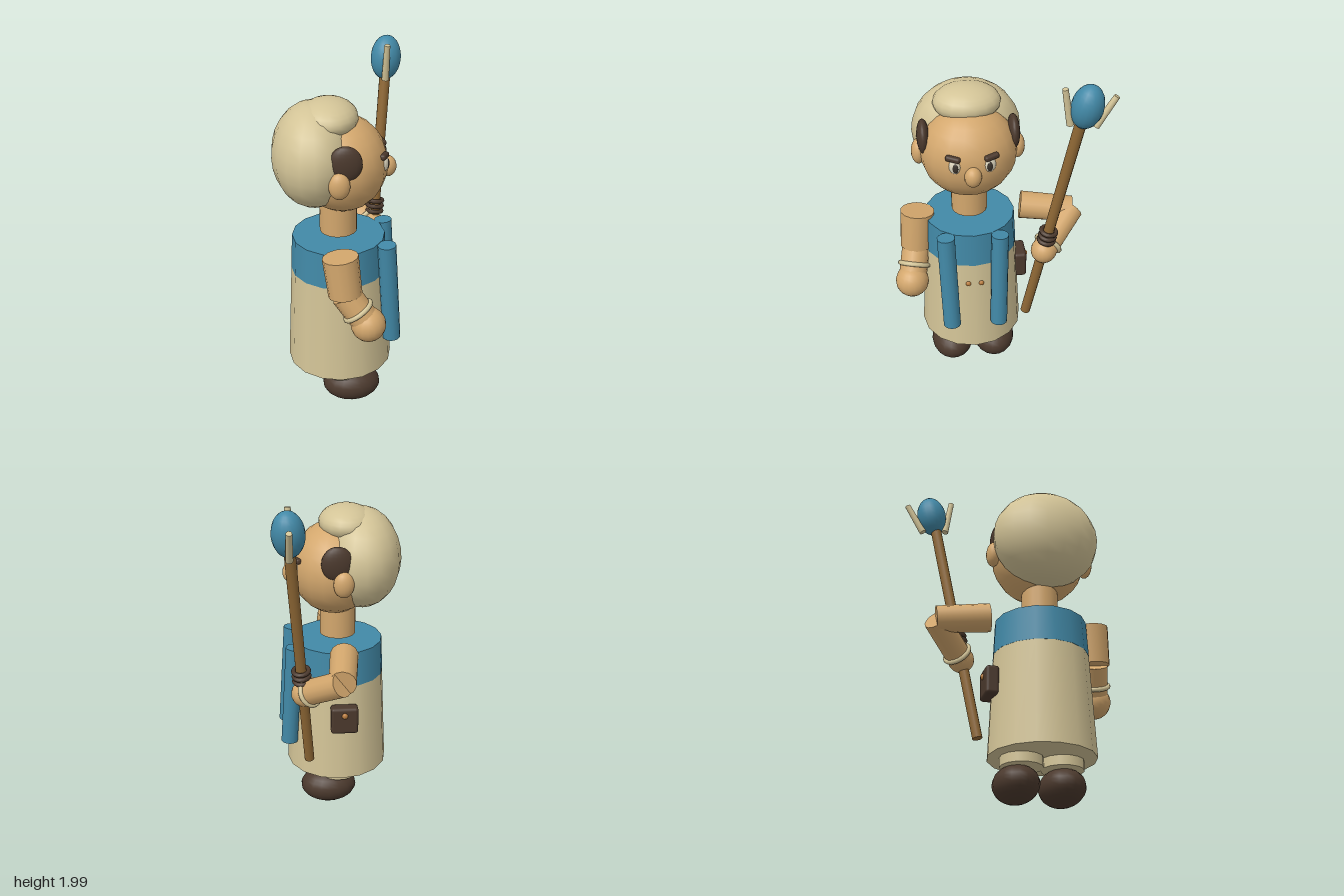
import * as THREE from 'three';
import { RoundedBoxGeometry } from 'three/addons/geometries/RoundedBoxGeometry.js';

const mat = (name, color) => {
  const m = new THREE.MeshStandardMaterial({ color });
  m.name = name;
  return m;
};

export function createModel() {
  const cream = mat('cream', 0xd3c497);
  const skin = mat('skin', 0xd3a76d);
  const dark = mat('darkBrown', 0x4b392d);
  const blue = mat('blue', 0x4289a7);
  const wood = mat('wood', 0x8f6835);
  const copper = mat('copper', 0xb87c3e);
  const white = mat('eyeWhite', 0xe0d8c0);
  const pupil = mat('pupil', 0x3a332c);

  const model = new THREE.Group();
  const V = (a) => new THREE.Vector3(...a);
  const UP = new THREE.Vector3(0, 1, 0);

  const add = (parent, name, geo, material, pos = [0, 0, 0]) => {
    const m = new THREE.Mesh(geo, material);
    m.name = name;
    m.position.set(...pos);
    parent.add(m);
    return m;
  };
  const ball = (parent, name, material, pos, radii) => {
    const m = add(parent, name, new THREE.SphereGeometry(1, 18, 14), material, pos);
    m.scale.set(...radii);
    return m;
  };
  // Cylinder running from a to b
  const rod = (parent, name, material, a, b, ra, rb = ra, sides = 14) => {
    const p = V(a), d = V(b).sub(p);
    const m = add(parent, name, new THREE.CylinderGeometry(rb, ra, d.length(), sides), material);
    m.position.copy(p).addScaledVector(d, 0.5);
    m.quaternion.setFromUnitVectors(UP, d.normalize());
    return m;
  };
  // Ring around the line a to b, at fraction t
  const ring = (parent, name, material, a, b, t, r, tube) => {
    const p = V(a), d = V(b).sub(p);
    const m = add(parent, name, new THREE.TorusGeometry(r, tube, 8, 18), material);
    m.position.copy(p).addScaledVector(d, t);
    m.quaternion.setFromUnitVectors(new THREE.Vector3(0, 0, 1), d.normalize());
    return m;
  };

  // Body and head are built facing +z, then turned
  const figure = new THREE.Group();
  figure.name = 'figure';
  figure.position.set(-0.2, 0, 0.003);
  figure.rotation.y = Math.PI / 4;
  model.add(figure);

  // Robe and yoke
  rod(figure, 'robe', cream, [0, 0.245, 0], [0, 0.84, 0], 0.302, 0.272, 16);
  rod(figure, 'yoke', blue, [0, 0.84, 0], [0, 1.047, 0], 0.273, 0.262, 16);
  rod(figure, 'neck', skin, [0, 1.075, 0], [0, 1.28, 0], 0.105, 0.105, 18);

  // Head and hair
  const head = new THREE.Group();
  head.name = 'head';
  figure.add(head);
  ball(head, 'face', skin, [0, 1.485, 0.025], [0.275, 0.268, 0.25]);
  ball(head, 'hair', cream, [0, 1.54, -0.13], [0.31, 0.29, 0.23]);
  ball(head, 'hairTop', cream, [0, 1.75, -0.045], [0.19, 0.1, 0.16]);
  ball(head, 'nose', skin, [0, 1.455, 0.272], [0.048, 0.06, 0.05]);

  for (const s of [-1, 1]) {
    ball(head, 'sideburn', dark, [s * 0.252, 1.585, 0.03], [0.036, 0.1, 0.09]);
    ball(head, 'ear', skin, [s * 0.28, 1.472, -0.005], [0.042, 0.075, 0.058]);
    ball(head, 'eye', white, [s * 0.097, 1.512, 0.248], [0.033, 0.043, 0.02]).rotation.y = s * 0.38;
    ball(head, 'pupil', pupil, [s * 0.095, 1.51, 0.264], [0.017, 0.029, 0.009]).rotation.y = s * 0.38;
    const brow = add(head, 'eyebrow', new RoundedBoxGeometry(0.085, 0.032, 0.035, 2, 0.013), dark, [s * 0.105, 1.56, 0.245]);
    brow.rotation.set(0, s * 0.38, s * 0.12);

    // Legs, feet and robe buttons
    rod(figure, 'leg', cream, [s * 0.115, 0.19, 0], [s * 0.115, 0.3, 0], 0.12);
    ball(figure, 'foot', dark, [s * 0.13, 0.112, 0.06], [0.128, 0.105, 0.168]);
    ball(figure, 'button', copper, [s * 0.038, 0.71, 0.272], [0.016, 0.016, 0.012]);
  }

  // Belt pouch on the left hip
  add(figure, 'pouch', new RoundedBoxGeometry(0.075, 0.165, 0.16, 2, 0.018), dark, [0.3, 0.648, -0.015]);
  ball(figure, 'pouchButton', copper, [0.337, 0.685, -0.015], [0.014, 0.018, 0.018]);

  // Scarf ends hanging down the front
  rod(model, 'scarfEnd', blue, [-0.13, 1.047, 0.3], [-0.092, 0.43, 0.312], 0.052);
  rod(model, 'scarfEnd', blue, [0.093, 1.047, 0.085], [0.108, 0.43, 0.116], 0.05);

  // Arms: shoulder, elbow, hand, radii
  const arm = (name, s, e, h, rU, rF, rH, t) => {
    const g = new THREE.Group();
    g.name = name;
    model.add(g);
    rod(g, 'upperArm', skin, s, e, rU, rU * 0.94);
    rod(g, 'forearm', skin, e, h, rF);
    ball(g, 'hand', skin, h, [rH, rH, rH]);
    ring(g, 'bracelet', cream, e, h, t, rF + 0.002, 0.014);
  };
  arm('rightArm', [-0.42, 1.065, 0.215], [-0.415, 0.84, 0.245], [-0.355, 0.665, 0.36], 0.1, 0.082, 0.098, 0.55);
  arm('leftArm', [0.005, 1.055, -0.215], [0.245, 1.025, -0.4], [0.248, 0.88, -0.13], 0.082, 0.074, 0.076, 0.84);

  // Staff with grip rings, orb and two prongs
  const staff = new THREE.Group();
  staff.name = 'staff';
  model.add(staff);
  const foot = [0.157, 0.4, -0.085], tip = [0.425, 1.8, -0.185];
  rod(staff, 'shaft', wood, foot, tip, 0.029, 0.032, 12);
  for (const t of [0.405, 0.428, 0.451]) ring(staff, 'gripRing', dark, foot, tip, t, 0.043, 0.013);
  const orb = ball(staff, 'orb', blue, [0.445, 1.872, -0.198], [0.088, 0.128, 0.088]);
  orb.quaternion.setFromUnitVectors(UP, V(tip).sub(V(foot)).normalize());
  const prongs = [
    [[0.378, 1.765, -0.145], [0.357, 1.98, -0.115]],
    [[0.48, 1.75, -0.235], [0.555, 1.925, -0.303]],
  ];
  for (const [a, b] of prongs) rod(staff, 'prong', cream, a, b, 0.021, 0.017, 10);

  return model;
}
